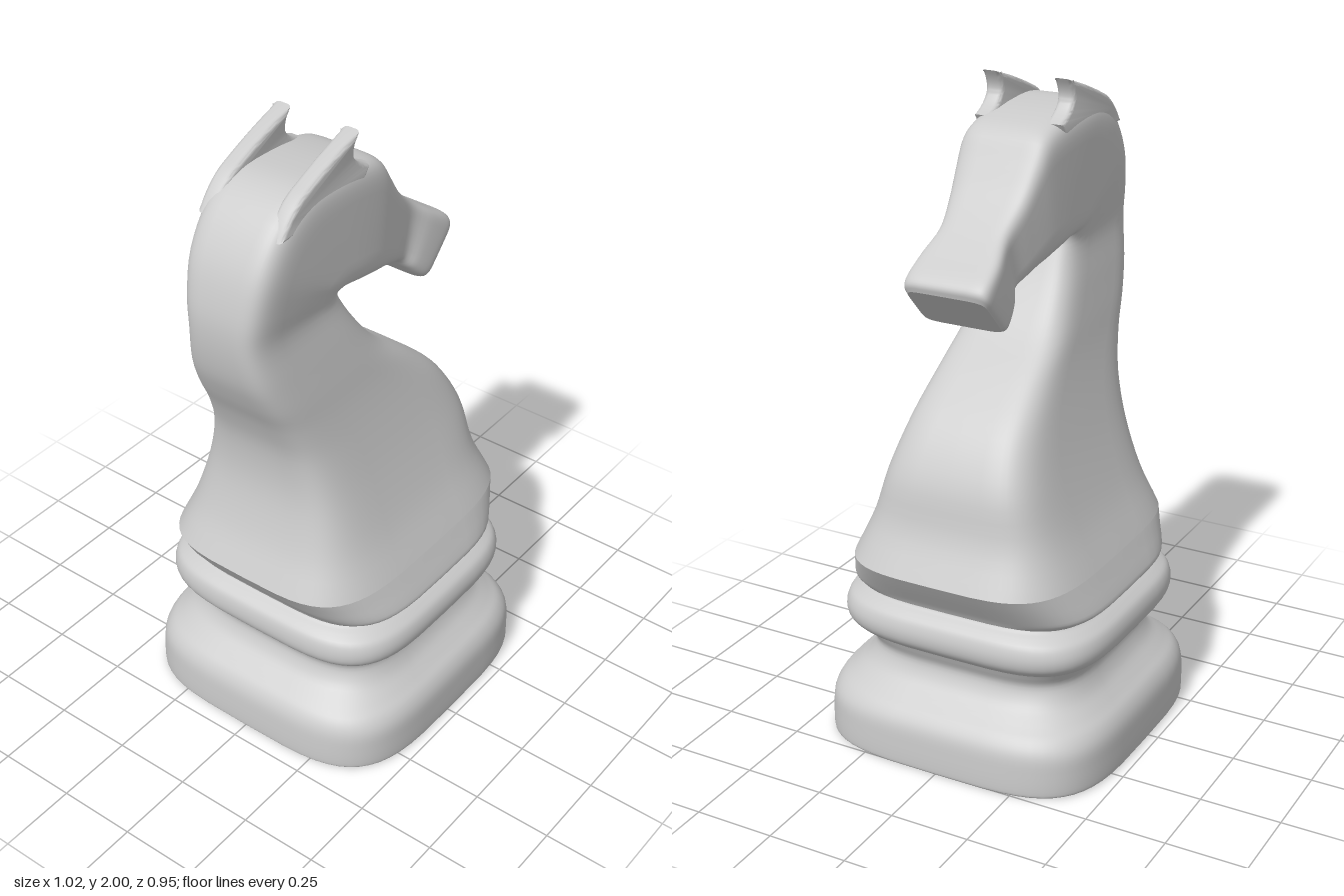
import * as THREE from 'three';
import { toCreasedNormals } from 'three/addons/utils/BufferGeometryUtils.js';

const SEGMENTS = 56;
const material = new THREE.MeshStandardMaterial({ color: 0xcccccc });

// Lofts squarish sections. Each station: back x, y, front x, y, half width, squareness.
function loft(stations, steps) {
  const curve = (pick) => new THREE.CatmullRomCurve3(stations.map(pick), false, 'catmullrom', 0.5);
  const backs = curve((s) => new THREE.Vector3(s[0], s[1], 0));
  const fronts = curve((s) => new THREE.Vector3(s[2], s[3], 0));
  const sizes = curve((s) => new THREE.Vector3(s[4], s[5], 0));
  const rings = (stations.length - 1) * steps;
  const pos = [], index = [];
  const power = (v, n) => Math.sign(v) * Math.abs(v) ** (2 / n);

  const addRing = (t) => {
    const b = backs.getPoint(t), f = fronts.getPoint(t), { x: width, y: n } = sizes.getPoint(t);
    for (let j = 0; j < SEGMENTS; j++) {
      const a = (j / SEGMENTS) * Math.PI * 2;
      const c = power(Math.cos(a), n) / 2;
      pos.push(
        (b.x + f.x) / 2 + c * (f.x - b.x),
        (b.y + f.y) / 2 + c * (f.y - b.y),
        width * power(Math.sin(a), n));
    }
  };
  for (let i = 0; i <= rings; i++) addRing(i / rings);
  for (let i = 0; i < rings; i++) {
    for (let j = 0; j < SEGMENTS; j++) {
      const k = (j + 1) % SEGMENTS, r = i * SEGMENTS, up = r + SEGMENTS;
      index.push(r + j, up + j, r + k, r + k, up + j, up + k);
    }
  }
  // flat end caps with their own vertices
  for (const t of [0, 1]) {
    const start = pos.length / 3;
    addRing(t);
    const m = backs.getPoint(t).add(fronts.getPoint(t)).multiplyScalar(0.5);
    const centre = pos.length / 3;
    pos.push(m.x, m.y, 0);
    for (let j = 0; j < SEGMENTS; j++) {
      const p = start + j, q = start + ((j + 1) % SEGMENTS);
      index.push(centre, t ? q : p, t ? p : q);
    }
  }
  const geo = new THREE.BufferGeometry();
  geo.setAttribute('position', new THREE.Float32BufferAttribute(pos, 3));
  geo.setIndex(index);
  geo.computeVertexNormals();
  return geo;
}

// Level sections: y, back x, front x, half width
const level = (rows) => rows.map(([y, b, f, w]) => [b, y, f, y, w, 4]);

export function createModel() {
  const group = new THREE.Group();
  const add = (name, geometry) => {
    const mesh = new THREE.Mesh(geometry, material);
    mesh.name = name;
    group.add(mesh);
    return mesh;
  };

  // Foot with a waist above it
  add('foot', loft(level([
    [0, -0.445, 0.505, 0.467], [0.012, -0.45, 0.51, 0.472], [0.07, -0.45, 0.51, 0.472],
    [0.13, -0.445, 0.505, 0.468], [0.17, -0.427, 0.482, 0.45], [0.2, -0.395, 0.447, 0.418],
    [0.24, -0.35, 0.405, 0.38], [0.29, -0.33, 0.385, 0.36], [0.33, -0.345, 0.4, 0.372],
    [0.36, -0.365, 0.415, 0.39],
  ]), 4));

  // Rounded collar
  add('collar', loft(level([
    [0.345, -0.35, 0.405, 0.375], [0.358, -0.375, 0.428, 0.405], [0.385, -0.396, 0.45, 0.43],
    [0.42, -0.4, 0.456, 0.436], [0.455, -0.392, 0.447, 0.425], [0.475, -0.37, 0.427, 0.4],
    [0.49, -0.348, 0.407, 0.377], [0.51, -0.345, 0.405, 0.375],
  ]), 4));

  // Flared skirt under the chest
  add('skirt', loft(level([
    [0.498, -0.355, 0.415, 0.39], [0.515, -0.365, 0.425, 0.41], [0.54, -0.385, 0.443, 0.404],
    [0.58, -0.412, 0.472, 0.387], [0.62, -0.44, 0.5, 0.37],
  ]), 3));

  // Chest, neck and head: sections swing round the throat, then run down to the muzzle
  add('neckAndHead', loft([
    [-0.44, 0.62, 0.5, 0.62, 0.37, 4],
    [-0.385, 0.75, 0.44, 0.75, 0.31, 4.5],
    [-0.352, 0.91, 0.41, 0.9, 0.257, 5],
    [-0.36, 1.06, 0.33, 1.04, 0.217, 5],
    [-0.4, 1.18, 0.2, 1.16, 0.19, 5],
    [-0.45, 1.28, 0.06, 1.27, 0.172, 5],
    [-0.49, 1.38, -0.03, 1.38, 0.153, 5],
    [-0.51, 1.5, -0.09, 1.48, 0.134, 5],
    [-0.505, 1.61, -0.105, 1.515, 0.141, 5],
    [-0.467, 1.735, -0.1, 1.522, 0.15, 5.5],
    [-0.387, 1.847, -0.085, 1.518, 0.152, 6],
    [-0.285, 1.902, -0.06, 1.51, 0.152, 6],
    [-0.15, 1.905, -0.03, 1.503, 0.152, 6],
    [-0.02, 1.887, 0, 1.497, 0.15, 6],
    [0.06, 1.858, 0.04, 1.488, 0.146, 6],
    [0.11, 1.79, 0.09, 1.478, 0.138, 6],
    [0.17, 1.705, 0.14, 1.463, 0.127, 6],
    [0.25, 1.63, 0.195, 1.44, 0.114, 6],
    [0.33, 1.57, 0.225, 1.41, 0.13, 7],
    [0.395, 1.527, 0.255, 1.375, 0.137, 7],
    [0.418, 1.5, 0.28, 1.353, 0.136, 7],
    [0.414, 1.475, 0.3, 1.354, 0.126, 7],
  ], 4));

  // Ears: slim ridges growing out of the crest to a forward tip
  const outline = new THREE.Shape();
  outline.moveTo(-0.4, 1.81);
  outline.quadraticCurveTo(-0.35, 1.895, -0.28, 1.92);
  outline.quadraticCurveTo(-0.18, 1.965, -0.06, 2.0);
  outline.quadraticCurveTo(-0.1, 1.945, -0.075, 1.92);
  outline.quadraticCurveTo(-0.055, 1.895, -0.01, 1.88);
  outline.lineTo(-0.05, 1.82);
  outline.closePath();
  const earGeometry = toCreasedNormals(new THREE.ExtrudeGeometry(outline, {
    depth: 0.03, curveSegments: 10,
    bevelThickness: 0.013, bevelSize: 0.012, bevelOffset: -0.012, bevelSegments: 3,
  }).translate(0, 0, -0.015), 0.8);
  for (const side of [1, -1]) {
    add(side > 0 ? 'frontEar' : 'backEar', earGeometry).position.z = side * 0.116;
  }
  return group;
}
